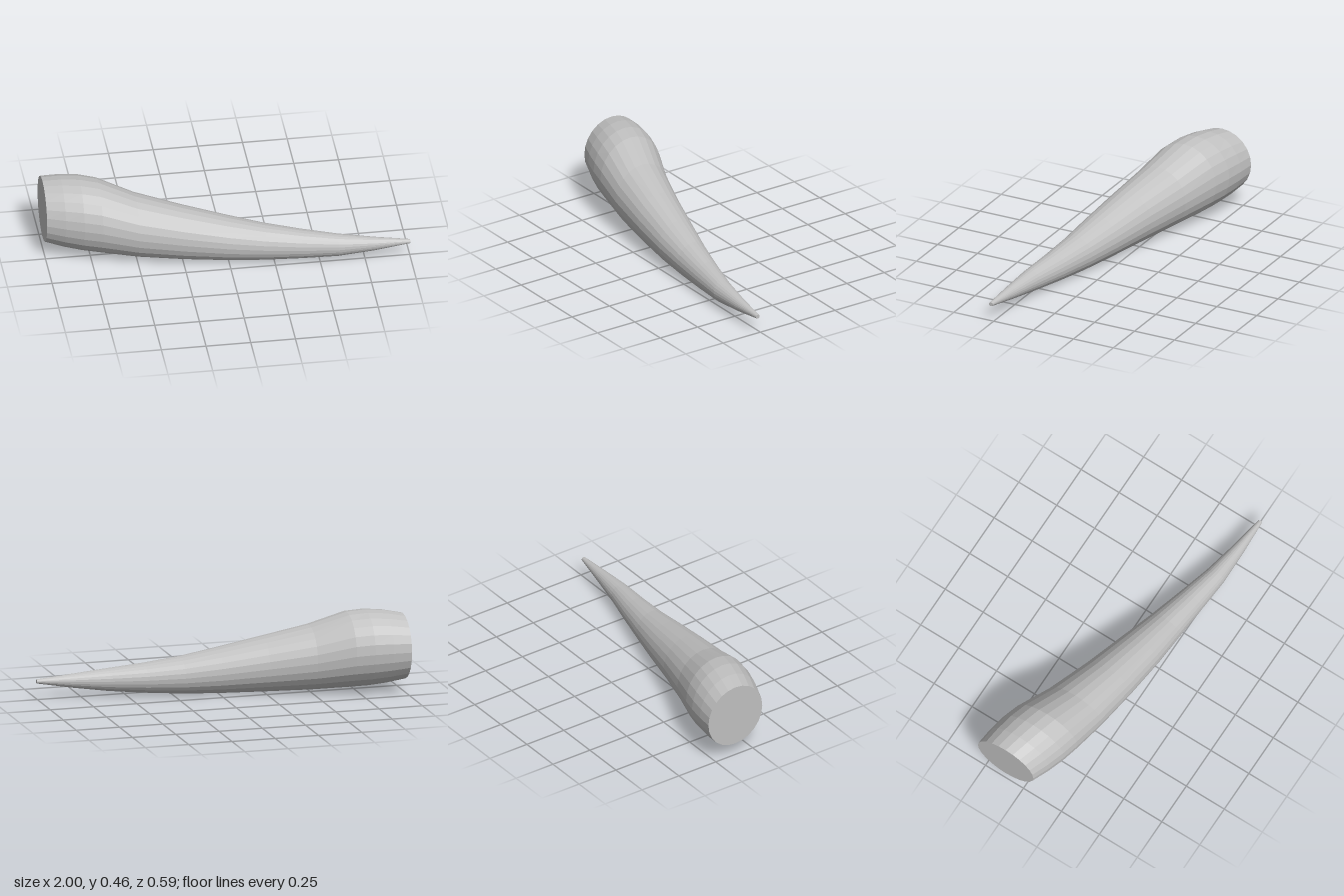
import * as THREE from 'three';

const SIDES = 24;

// Cross-sections along the horn: x, top y, bottom y, back z, front z
const SECTIONS = [
  [-1, 0.44, 0.072, -0.3, 0.065],
  [-0.9, 0.457, 0.05, -0.289, 0.107],
  [-0.8, 0.462, 0.035, -0.27, 0.14],
  [-0.7, 0.45, 0.027, -0.24, 0.163],
  [-0.5, 0.377, 0.012, -0.157, 0.195],
  [-0.25, 0.315, 0.004, -0.073, 0.226],
  [0, 0.256, 0, 0, 0.25],
  [0.2, 0.212, 0.002, 0.06, 0.261],
  [0.4, 0.18, 0.012, 0.117, 0.275],
  [0.6, 0.155, 0.027, 0.173, 0.29],
  [0.8, 0.132, 0.054, 0.217, 0.288],
  [1, 0.111, 0.088, 0.255, 0.28],
];

// Points of one elliptical cross-section
function ring([x, top, bottom, back, front]) {
  const points = [];
  for (let i = 0; i < SIDES; i++) {
    const a = (i / SIDES) * Math.PI * 2;
    points.push([
      x,
      (top + bottom) / 2 + ((top - bottom) / 2) * Math.cos(a),
      (front + back) / 2 + ((front - back) / 2) * Math.sin(a),
    ]);
  }
  return points;
}

function toMesh(name, triangles, material) {
  const geometry = new THREE.BufferGeometry();
  geometry.setAttribute('position', new THREE.Float32BufferAttribute(triangles.flat(), 3));
  geometry.computeVertexNormals();
  const mesh = new THREE.Mesh(geometry, material);
  mesh.name = name;
  return mesh;
}

// Flat end disc, facing +x or -x
function cap(name, section, facing, material) {
  const points = ring(section);
  const [x, top, bottom, back, front] = section;
  const centre = [x, (top + bottom) / 2, (back + front) / 2];
  const triangles = [];
  for (let i = 0; i < SIDES; i++) {
    const a = points[i], b = points[(i + 1) % SIDES];
    triangles.push(centre, ...(facing > 0 ? [a, b] : [b, a]));
  }
  return toMesh(name, triangles, material);
}

export function createModel() {
  const group = new THREE.Group();
  group.name = 'horn';
  const grey = new THREE.MeshStandardMaterial({ color: 0xc0c0c0 });
  grey.name = 'light grey';

  // Faceted tapering body
  const rings = SECTIONS.map(ring);
  const triangles = [];
  for (let r = 0; r < rings.length - 1; r++) {
    for (let i = 0; i < SIDES; i++) {
      const j = (i + 1) % SIDES;
      const a = rings[r][i], b = rings[r][j];
      const c = rings[r + 1][i], d = rings[r + 1][j];
      triangles.push(a, b, c, b, d, c);
    }
  }
  group.add(toMesh('hornBody', triangles, grey));

  // Closed ends
  group.add(cap('baseCap', SECTIONS[0], -1, grey));
  group.add(cap('tipCap', SECTIONS[SECTIONS.length - 1], 1, grey));
  return group;
}
